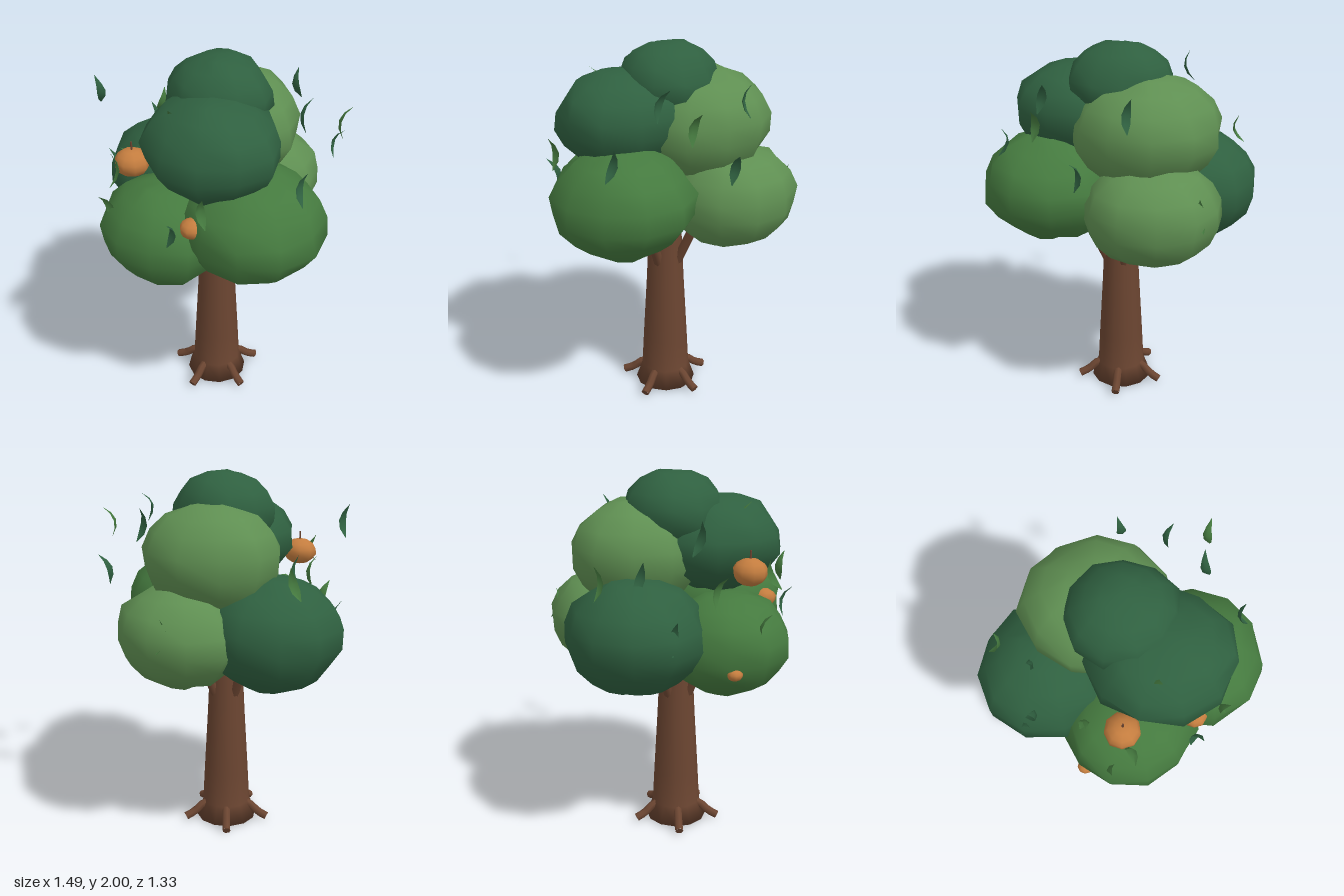
import * as THREE from 'three';
import { mergeVertices } from 'three/addons/utils/BufferGeometryUtils.js';

const paint = (color, side = THREE.FrontSide) => new THREE.MeshStandardMaterial({ color, side });
const bark = paint(0x6b4531);
const dark = paint(0x2f6040), mid = paint(0x457a3f), light = paint(0x5f8f52);
const fruitSkin = paint(0xc47d3f);
const leafDark = paint(0x2f6040, THREE.DoubleSide), leafMid = paint(0x457a3f, THREE.DoubleSide);

const TRUNK = { x: 0.01, z: 0.02 };

function seeded(seed) {
  return () => {
    seed = (seed * 16807) % 2147483647;
    return seed / 2147483647;
  };
}

// Slightly uneven low-poly ball with smooth normals
function lump(radii, sides, rings, wobble, seed) {
  let g = new THREE.SphereGeometry(1, sides, rings);
  g.deleteAttribute('uv');
  g.deleteAttribute('normal');
  g = mergeVertices(g, 1e-3);
  const rand = seeded(seed), p = g.attributes.position;
  for (let i = 0; i < p.count; i++) {
    const k = 1.01 + (rand() - 0.5) * wobble;
    // the top and bottom points keep the full height
    const s = Math.abs(p.getY(i)) > 0.99 ? 1 : k;
    p.setXYZ(i, p.getX(i) * s, p.getY(i) * s, p.getZ(i) * s);
  }
  g.scale(...radii);
  g.computeVertexNormals();
  return g;
}

// Pointed leaf, folded along its midrib and bent outwards
function leafGeometry() {
  const g = new THREE.PlaneGeometry(1, 0.17, 2, 4), p = g.attributes.position;
  for (let i = 0; i < p.count; i++) {
    const t = THREE.MathUtils.clamp(p.getY(i) / 0.17 + 0.5, 0.01, 0.99);
    const half = 0.05 * Math.sin(Math.PI * Math.pow(t, 0.8));
    const x = p.getX(i) * half;
    p.setXYZ(i, x, p.getY(i), Math.abs(x) * 0.4 + 0.2 * (t - 0.5) ** 2);
  }
  g.computeVertexNormals();
  return g;
}

// Bent round limb with a capped outer end
function limb(points, radius) {
  const curve = new THREE.CatmullRomCurve3(points.map(q => new THREE.Vector3(...q)));
  const group = new THREE.Group();
  group.add(new THREE.Mesh(new THREE.TubeGeometry(curve, 5, radius, 7), bark));
  const cap = new THREE.Mesh(new THREE.CircleGeometry(radius, 7), bark);
  const end = curve.getPoint(1);
  cap.position.copy(end);
  cap.lookAt(end.clone().add(curve.getTangent(1)));
  group.add(cap);
  return group;
}

export function createModel() {
  const tree = new THREE.Group();
  const add = (object, name, x, y, z) => {
    object.name = name;
    object.position.set(x, y, z);
    tree.add(object);
  };

  // Trunk with a flared foot, hollow underneath
  const profile = [[0, 0.06], [0.17, 0.01], [0.135, 0.11], [0.125, 0.3], [0.105, 0.65],
    [0.093, 0.9], [0.08, 1.2], [0, 1.25]].map(q => new THREE.Vector2(...q));
  add(new THREE.Mesh(new THREE.LatheGeometry(profile, 12), bark), 'trunk', TRUNK.x, 0, TRUNK.z);

  // Five roots around the foot
  for (let i = 0; i < 5; i++) {
    const root = limb([[0.08, 0.11, 0], [0.15, 0.085, 0], [0.19, 0.05, 0], [0.245, 0.025, 0]], 0.023);
    root.rotation.y = -i * Math.PI * 2 / 5;
    add(root, 'root', TRUNK.x, 0, TRUNK.z);
  }

  // Four branches rising into the crown
  for (let i = 0; i < 4; i++) {
    const branch = limb([[0.07, 0.77, 0], [0.115, 0.87, 0], [0.17, 0.99, 0], [0.24, 1.12, 0]], 0.027);
    branch.rotation.y = i * Math.PI / 2;
    add(branch, 'branch', TRUNK.x, 0, TRUNK.z);
  }

  // Foliage: name, material, centre, radii
  const crown = [
    ['frontFoliage', mid, [0.01, 1.125, 0.335], [0.35, 0.27, 0.34]],
    ['leftFoliage', mid, [0.38, 1.24, 0.06], [0.365, 0.29, 0.37]],
    ['rightFoliage', dark, [-0.38, 1.215, 0.02], [0.37, 0.295, 0.36]],
    ['backFoliage', light, [-0.09, 1.2, -0.33], [0.36, 0.27, 0.34]],
    ['upperBackFoliage', light, [-0.1, 1.57, -0.15], [0.385, 0.29, 0.35]],
    ['upperFrontFoliage', dark, [0.18, 1.62, 0.17], [0.37, 0.255, 0.34]],
    ['topFoliage', dark, [0.01, 1.785, 0.005], [0.285, 0.215, 0.265]],
  ];
  crown.forEach(([name, material, centre, radii], i) => {
    const ball = new THREE.Mesh(lump(radii, 11, 9, 0.09, 101 + i * 37), material);
    add(ball, name, ...centre);
  });

  // Fruit: centre and radius, some barely showing
  const fruits = [
    [-0.05, 1.53, 0.49, 0.09], [0.33, 1.3, 0.39, 0.066], [-0.25, 1.05, 0.52, 0.04],
    [0.04, 1.75, 0.36, 0.03], [-0.51, 1.23, 0.33, 0.02], [0.13, 1.17, -0.555, 0.02],
  ];
  fruits.forEach(([x, y, z, r], i) => {
    const g = lump([r, r * 0.78, r], 9, 7, 0.06, 500 + i * 11);
    add(new THREE.Mesh(g, fruitSkin), 'fruit', x, y, z);
  });
  // Stem of the largest fruit
  const stem = new THREE.Mesh(new THREE.CylinderGeometry(0.005, 0.006, 0.06, 5), bark);
  add(stem, 'fruitStem', -0.05, 1.61, 0.49);

  // Loose leaves around the crown
  const leaves = [
    [-0.43, 1.75, 0.43], [-0.59, 1.51, -0.03], [-0.51, 1.28, 0.32], [-0.13, 1.28, 0.59],
    [0.43, 1.79, -0.17], [0.1, 1.78, 0.34], [0.6, 1.51, -0.03], [0.43, 1.46, 0.42],
    [0.32, 1.31, 0.49], [-0.02, 1.52, 0.58], [0.3, 1.5, -0.52], [0.48, 1.72, -0.38],
    [0.07, 1.75, -0.44], [-0.28, 1.26, -0.55], [-0.44, 1.52, 0.09], [-0.22, 1.46, 0.39],
  ];
  const blade = leafGeometry(), rand = seeded(77);
  leaves.forEach(([x, y, z], i) => {
    const leaf = new THREE.Mesh(blade, i % 2 ? leafMid : leafDark);
    const facing = Math.atan2(x, z) + (rand() - 0.5) * 1.6;
    leaf.rotation.set((rand() - 0.3) * 0.7, facing, (rand() - 0.5) * 0.7, 'YXZ');
    add(leaf, 'leaf', x, y, z);
  });

  return tree;
}
